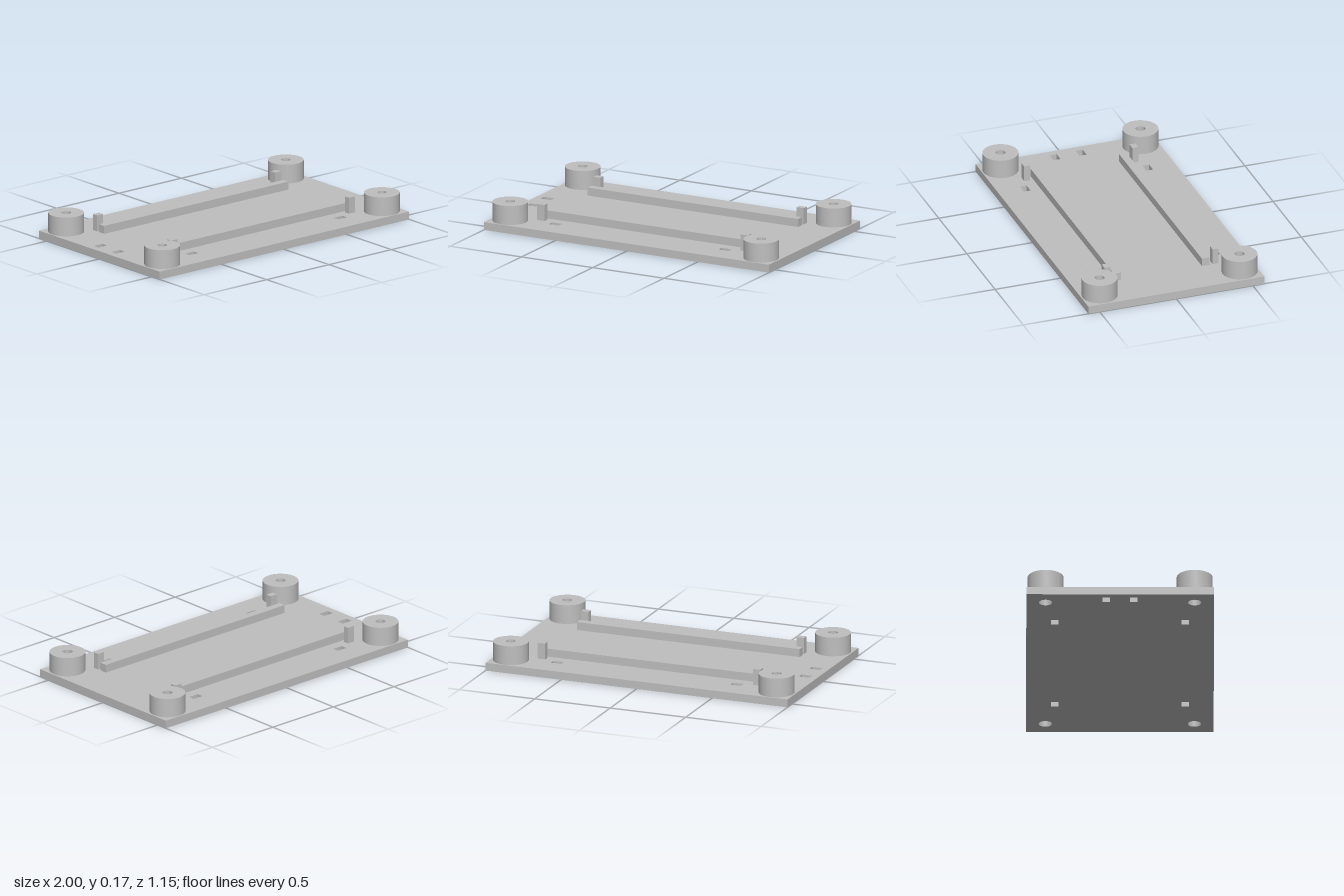
import * as THREE from 'three';
import { toCreasedNormals } from 'three/addons/utils/BufferGeometryUtils.js';

const PLATE_TOP = 0.05;

function circle(x, y, r) {
  const p = new THREE.Path();
  p.absarc(x, y, r, 0, Math.PI * 2, true);
  return p;
}

function rectangle(target, x, y, w, h) {
  target.moveTo(x - w / 2, y - h / 2);
  target.lineTo(x + w / 2, y - h / 2);
  target.lineTo(x + w / 2, y + h / 2);
  target.lineTo(x - w / 2, y + h / 2);
  target.closePath();
  return target;
}

// Extrude a plan outline upwards from y = 0
function extrudeUp(shape, height) {
  const g = new THREE.ExtrudeGeometry(shape, { depth: height, bevelEnabled: false, curveSegments: 32 });
  g.rotateX(-Math.PI / 2);
  return toCreasedNormals(g, 0.6);
}

export function createModel() {
  const model = new THREE.Group();
  model.name = 'mountingPlate';
  const grey = new THREE.MeshStandardMaterial({ color: 0xbfbfbf });
  grey.name = 'grey';

  function add(name, geometry, x, y, z) {
    const mesh = new THREE.Mesh(geometry, grey);
    mesh.name = name;
    mesh.position.set(x, y, z);
    model.add(mesh);
  }

  const corners = [[-1, -1], [1, -1], [-1, 1], [1, 1]];

  // Base plate with screw holes and tie slots
  const plate = rectangle(new THREE.Shape(), 0, 0, 2, 1.15);
  for (const [sx, sz] of corners) {
    plate.holes.push(circle(sx * 0.88, sz * 0.457, 0.041));
    plate.holes.push(rectangle(new THREE.Path(), sx * 0.595, sz * 0.4, 0.07, 0.044));
  }
  for (const sz of [-1, 1]) {
    plate.holes.push(rectangle(new THREE.Path(), -0.92, sz * 0.085, 0.07, 0.046));
  }
  add('basePlate', extrudeUp(plate, PLATE_TOP), 0, 0, 0);

  // Corner standoffs with a narrower bore
  const ring = new THREE.Shape();
  ring.absarc(0, 0, 0.11, 0, Math.PI * 2, false);
  ring.holes.push(circle(0, 0, 0.03));
  const standoff = extrudeUp(ring, 0.12);

  // End stops beside the rails
  const stop = new THREE.BoxGeometry(0.05, 0.102, 0.039);
  for (const [sx, sz] of corners) {
    add('standoff', standoff, sx * 0.88, PLATE_TOP, sz * 0.457);
    add('endStop', stop, sx * 0.713, PLATE_TOP + 0.051, sz * 0.353);
  }

  // Long support rails
  const rail = new THREE.BoxGeometry(1.476, 0.051, 0.049);
  for (const sz of [-1, 1]) add('rail', rail, 0, PLATE_TOP + 0.0255, sz * 0.288);

  return model;
}
